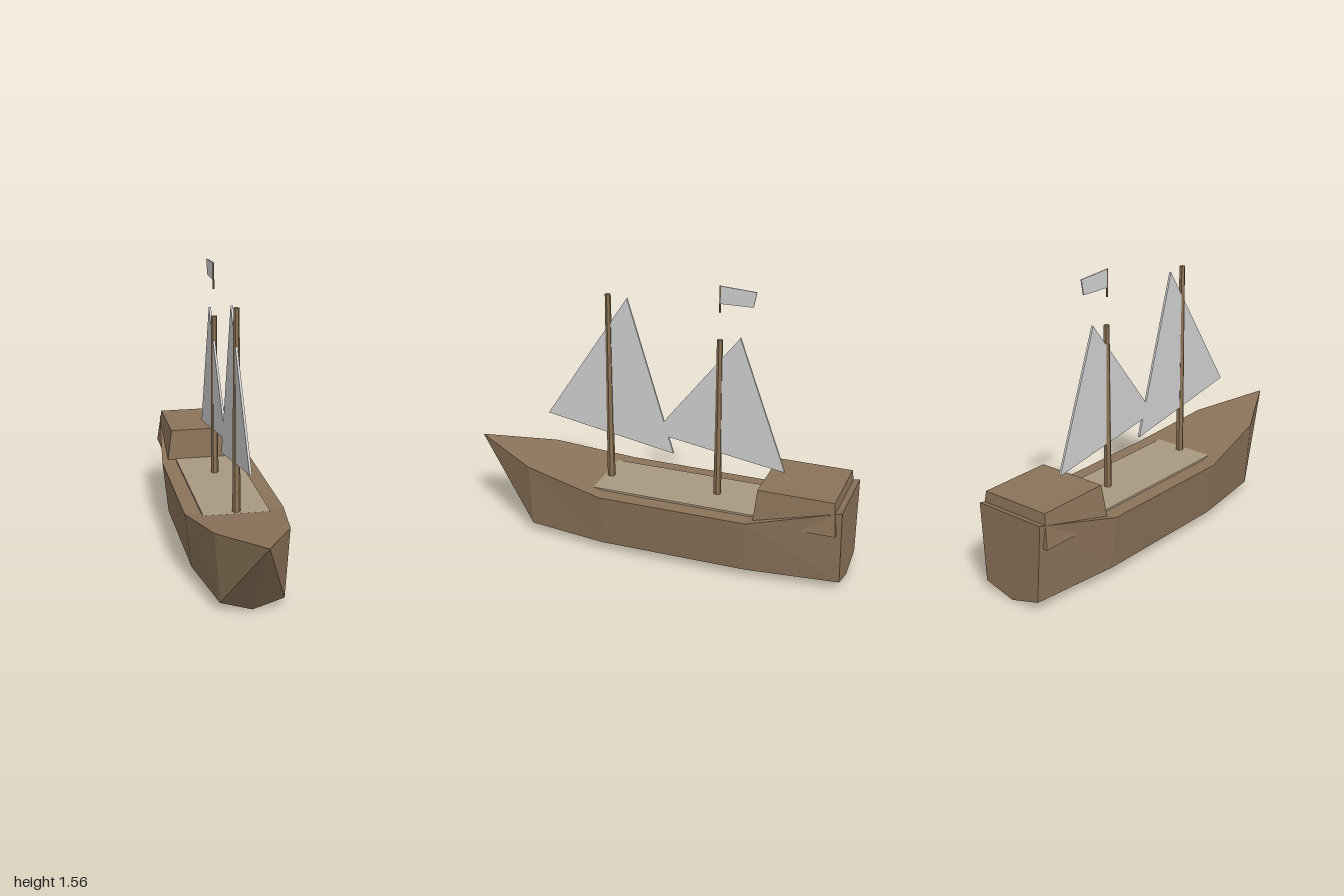
import * as THREE from 'three';

const material = (name, color) => {
  const m = new THREE.MeshStandardMaterial({ color });
  m.name = name;
  return m;
};

// Lofted hull: five-point sections [x, rail y, rail half width, chine half width]
function hullGeometry() {
  const stations = [
    [-1.005, 0.48, 0.205, 0.178],
    [-0.5, 0.35, 0.262, 0.23],
    [0.338, 0.35, 0.265, 0.23],
    [0.8, 0.42, 0.19, 0.164],
  ];
  const rings = stations.map(([x, y, rail, chine]) => [
    [x, y, rail], [x, 0.05, chine], [x, 0, 0], [x, 0.05, -chine], [x, y, -rail],
  ]);
  const tip = [1.18, 0.48, 0];
  const points = [];
  const tri = (a, b, c) => points.push(...a, ...b, ...c);
  const last = rings.length - 1;
  for (let j = 0; j < 5; j++) {
    const k = (j + 1) % 5;
    for (let s = 0; s < last; s++) {
      const a = rings[s], b = rings[s + 1];
      tri(a[j], a[k], b[k]);
      tri(a[j], b[k], b[j]);
    }
    tri(rings[last][j], rings[last][k], tip); // bow
  }
  for (let j = 1; j < 4; j++) tri(rings[0][0], rings[0][j + 1], rings[0][j]); // transom
  const g = new THREE.BufferGeometry();
  g.setAttribute('position', new THREE.Float32BufferAttribute(points, 3));
  g.computeVertexNormals();
  return g;
}

// Box whose base is wider than its top
function cabinGeometry() {
  const g = new THREE.BoxGeometry(0.418, 0.185, 0.4);
  const p = g.attributes.position;
  for (let i = 0; i < p.count; i++) {
    if (p.getY(i) < 0) p.setXYZ(i, p.getX(i) * 1.077, p.getY(i), p.getZ(i) * 1.13);
  }
  g.computeVertexNormals();
  return g;
}

// Thin sheet of cloth centred on the boat's middle plane
function clothGeometry(corners, depth) {
  const shape = new THREE.Shape(corners.map(([x, y]) => new THREE.Vector2(x, y)));
  const g = new THREE.ExtrudeGeometry(shape, { depth, bevelEnabled: false });
  return g.translate(0, 0, -depth / 2);
}

export function createModel() {
  const hullWood = material('hull wood', 0x8b7359);
  const deckWood = material('deck wood', 0xa89880);
  const mastWood = material('mast wood', 0x8b7355);
  const cloth = material('sail cloth', 0xd0d0d0);
  for (const m of [hullWood, mastWood]) m.flatShading = true;

  const boat = new THREE.Group();
  boat.name = 'boat';
  const add = (name, geometry, mat, x = 0, y = 0, z = 0) => {
    const mesh = new THREE.Mesh(geometry, mat);
    mesh.name = name;
    mesh.position.set(x, y, z);
    boat.add(mesh);
  };

  add('hull', hullGeometry(), hullWood);
  add('deck', new THREE.BoxGeometry(0.96, 0.02, 0.356), deckWood, -0.072, 0.351, 0);
  add('cabin', cabinGeometry(), hullWood, -0.754, 0.4375, 0);

  // Masts
  for (const [name, x, top] of [['aftMast', -0.259, 1.265], ['foreMast', 0.372, 1.44]]) {
    const height = top - 0.34;
    add(name, new THREE.CylinderGeometry(0.016, 0.022, height, 6), mastWood, x, 0.34 + height / 2, -0.003);
  }

  // Sails
  add('aftSail', clothGeometry([[-0.637, 0.555], [0.113, 0.67], [-0.372, 1.29]], 0.012), cloth);
  add('foreSail', clothGeometry([[-0.002, 0.56], [0.748, 0.69], [0.263, 1.43]], 0.012), cloth);

  // Flag
  add('flagPole', new THREE.CylinderGeometry(0.005, 0.005, 0.145, 6), mastWood, -0.256, 1.4875, 0);
  add('flag', clothGeometry([[-0.437, 1.465], [-0.256, 1.463], [-0.256, 1.56], [-0.453, 1.548]], 0.006), cloth);

  // The boat lies diagonally
  boat.rotation.y = -Math.PI / 6;
  boat.position.set(-0.028, 0, 0.049);

  const model = new THREE.Group();
  model.name = 'sailingBoat';
  model.add(boat);
  return model;
}
